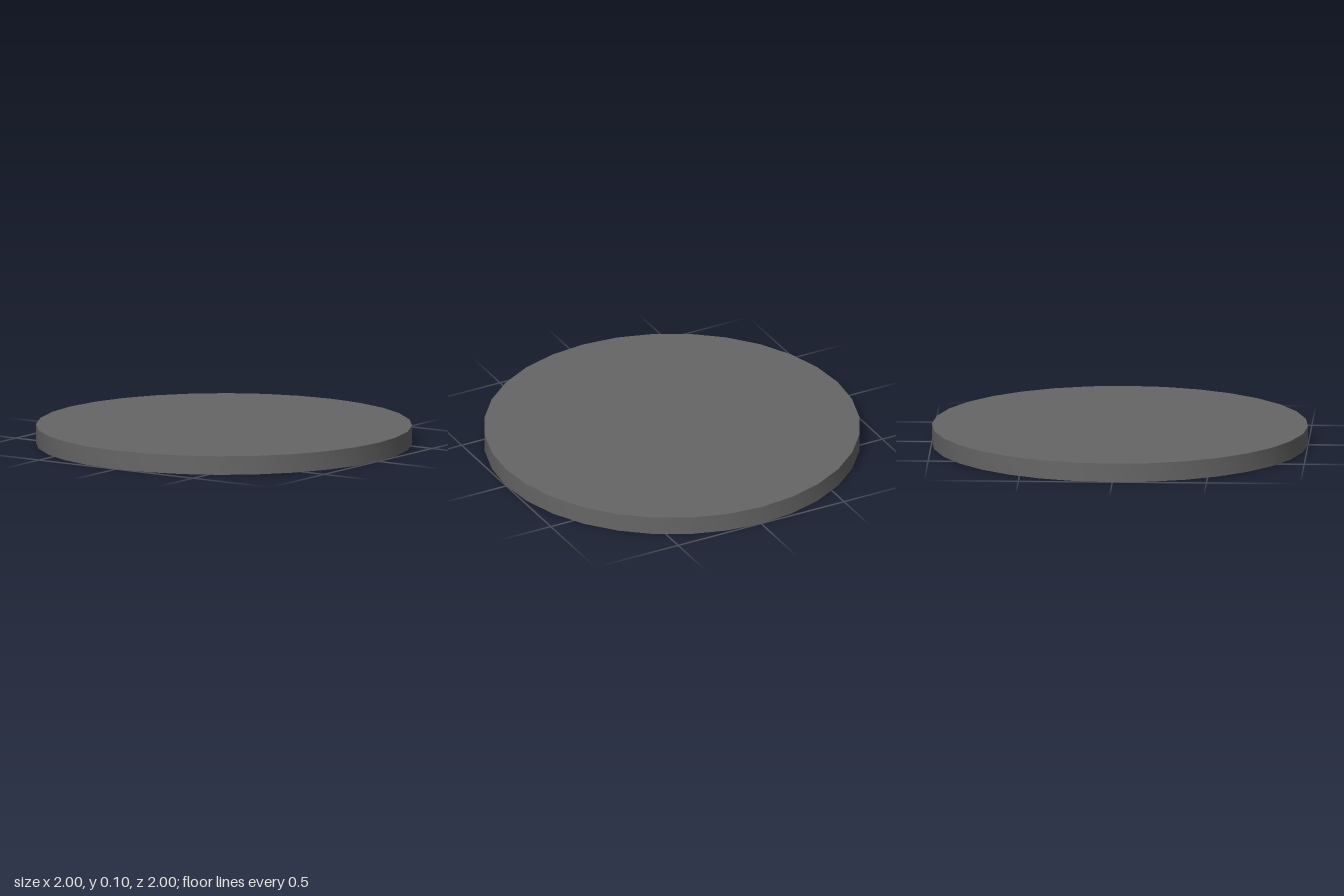
import * as THREE from 'three';
import { toCreasedNormals } from 'three/addons/utils/BufferGeometryUtils.js';

const SIDES = 32;

// Turned part from a [radius, height] profile, listed bottom to top on the outside
function turned(name, profile, color) {
  const points = profile.map(([r, y]) => new THREE.Vector2(r, y));
  const geometry = toCreasedNormals(new THREE.LatheGeometry(points, SIDES), 0.5);
  const mesh = new THREE.Mesh(geometry, new THREE.MeshStandardMaterial({ color }));
  mesh.name = name;
  return mesh;
}

export function createModel() {
  const model = new THREE.Group();
  model.name = 'roundPanel';

  // Flat round housing: recess wall, underside rim, outer wall, closed top
  model.add(turned('housing', [[0.815, 0.037], [0.815, 0], [1, 0], [1, 0.1], [0, 0.1]], 0x666666));

  // Shallow lens set into the underside, bulging gently downwards
  model.add(turned('lens', [[0, 0.015], [0.58, 0.015], [0.815, 0.037]], 0xa8a8a8));

  return model;
}
